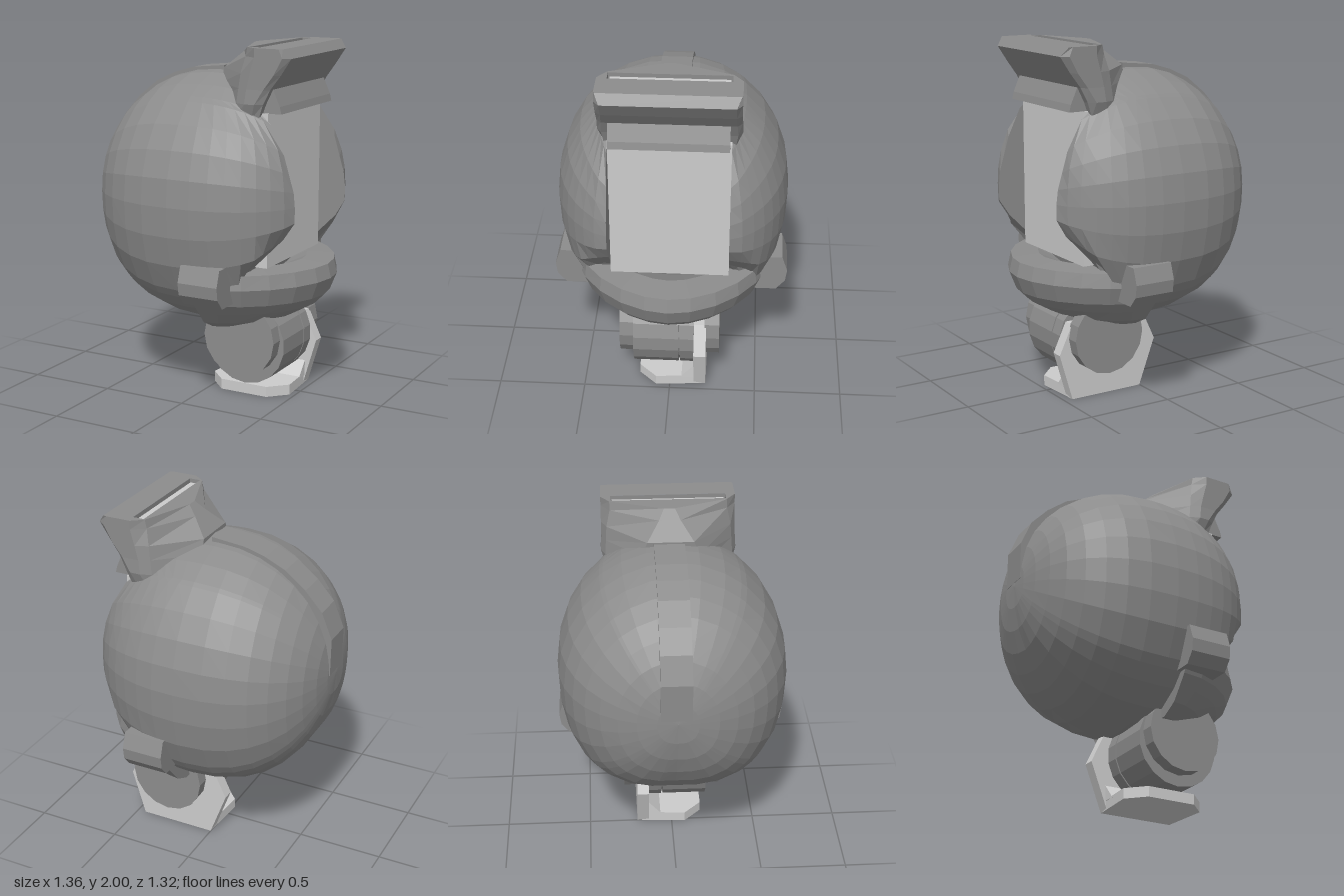
import * as THREE from 'three';

const DARK = 0x8c8c8c, LIGHT = 0xcccccc;

// Skin a list of closed rings; optional end caps
function loft(rings, capStart = false, capEnd = false) {
  const n = rings[0].length, pos = rings.flat(2), idx = [];
  for (let i = 0; i < rings.length - 1; i++) {
    for (let j = 0; j < n; j++) {
      const k = (j + 1) % n, a = i * n + j, b = i * n + k;
      idx.push(a, b, b + n, a, b + n, a + n);
    }
  }
  const last = (rings.length - 1) * n;
  for (let j = 1; j < n - 1; j++) {
    if (capStart) idx.push(0, j + 1, j);
    if (capEnd) idx.push(last, last + j, last + j + 1);
  }
  const g = new THREE.BufferGeometry();
  g.setAttribute('position', new THREE.Float32BufferAttribute(pos, 3));
  g.setIndex(idx);
  g.computeVertexNormals();
  return g;
}

const polygon = pts => new THREE.Shape(pts.map(p => new THREE.Vector2(p[0], p[1])));
const extrude = (shape, depth) =>
  new THREE.ExtrudeGeometry(shape, { depth, bevelEnabled: false });

// Head shell: round back, fuller underside, rectangular face opening, notch above the jaw
const CY = 1.16, RY = 0.69, RYB = 0.74, RZ = 0.65;
const FACE = { z: 0.33, top: 1.65, bottom: 0.8 };
const superArc = (s, p) => Math.pow(Math.max(0, 1 - s ** p), 1 / p);

function shellGeometry() {
  const thetas = [];
  for (let i = 0; i < 28; i++) thetas.push((i / 28) * Math.PI * 2 + 0.01);
  const top = Math.atan2(FACE.z / RZ, (FACE.top - CY) / RY);
  const low = Math.atan2(FACE.z / RZ, (FACE.bottom - CY) / RYB);
  thetas.push(top, low, Math.PI * 2 - top, Math.PI * 2 - low);
  thetas.sort((a, b) => a - b);

  // Outline across the head: round above the middle, squarer below
  const outline = t => {
    const c = Math.cos(t), s = Math.sin(t);
    const k = c > 0 ? 1 : Math.pow(Math.abs(c) ** 2.4 + Math.abs(s) ** 2.4, -1 / 2.4);
    return [(c > 0 ? RY : RYB) * c * k, RZ * s * k];
  };
  const rimFraction = t => {
    const [y, z] = outline(t);
    const v = (y > 0 ? FACE.top - CY : CY - FACE.bottom) / (Math.abs(y) + 1e-6);
    return Math.min(FACE.z / (Math.abs(z) + 1e-6), v, 1);
  };
  const point = (t, s, front) => {
    const [oy, oz] = outline(t), y = CY + s * oy;
    const x = front ? 0.68 * superArc(s, 2.4)
      : -0.68 * superArc(s, 2.05 + 0.3 * Math.abs(Math.sin(t)));
    return [Math.min(x, 0.61, 0.61 - 0.3 * (y - 1.21), Math.max(0.35, y - 0.43)), y, s * oz];
  };
  const rings = [];
  for (let i = 0; i <= 9; i++) {
    const s = Math.sin((i / 9) * Math.PI / 2);
    rings.push(thetas.map(t => point(t, Math.max(s, 0.001), false)));
  }
  for (let i = 1; i <= 8; i++) {
    rings.push(thetas.map(t => {
      const end = Math.asin(rimFraction(t));
      return point(t, Math.sin(Math.PI / 2 + (end - Math.PI / 2) * i / 8), true);
    }));
  }
  // Inner wall of the face opening
  rings.push(rings[rings.length - 1].map(([x, y, z]) => [Math.min(x, 0.42), y, z]));
  return loft(rings);
}

// Jaw: thick lip swept around the front, running into the shell at both ends
function jawGeometry() {
  // x radius, height, z radius
  const section = [
    [0.1, 0.42, 0.2], [0.22, 0.42, 0.32], [0.36, 0.47, 0.42], [0.48, 0.54, 0.48],
    [0.54, 0.6, 0.53], [0.58, 0.7, 0.57], [0.56, 0.78, 0.56], [0.4, 0.79, 0.4], [0.25, 0.72, 0.25],
  ];
  const rings = [];
  for (let i = 0; i <= 12; i++) {
    const a = (1 - i / 6) * Math.PI / 2;
    const c = Math.pow(Math.max(0, Math.cos(a)), 1.1);
    const s = Math.sign(a) * Math.pow(Math.abs(Math.sin(a)), 1.1);
    rings.push(section.map(([rx, y, rz]) => [0.1 + rx * c, y, rz * s]));
  }
  return loft(rings, true, true);
}

export function createModel() {
  const model = new THREE.Group();
  const add = (name, geometry, color = DARK, side = THREE.FrontSide) => {
    const mesh = new THREE.Mesh(geometry,
      new THREE.MeshStandardMaterial({ color, flatShading: true, side }));
    mesh.name = name;
    model.add(mesh);
    return mesh;
  };

  add('headShell', shellGeometry(), DARK, THREE.DoubleSide);
  add('facePanel', new THREE.BoxGeometry(0.08, 0.85, 0.66), LIGHT).position.set(0.405, 1.225, 0);
  add('jaw', jawGeometry(), DARK, THREE.DoubleSide);

  // Raised band over the back of the head
  const outer = [
    [-0.68, 1.18], [-0.682, 1.4], [-0.62, 1.55], [-0.52, 1.66], [-0.4, 1.755],
    [-0.28, 1.81], [-0.16, 1.845], [0.04, 1.865],
  ];
  const inner = outer.map(([x, y]) => [x * 0.88, CY + (y - CY) * 0.88]).reverse();
  add('crestBand', extrude(polygon([...outer, ...inner]), 0.17)).position.z = -0.095;

  // Hood: height, then x and z of five points from back to front, mirrored in z
  const hoodRings = [
    [1.62, 0.08, 0.17, 0.26, 0.35, 0.3, 0.36, 0.36, 0.36, 0.4, 0.35],
    [1.7, 0.08, 0.17, 0.27, 0.36, 0.33, 0.385, 0.39, 0.385, 0.43, 0.36],
    [1.78, 0.07, 0.16, 0.28, 0.355, 0.34, 0.38, 0.44, 0.38, 0.47, 0.355],
    [1.86, 0.07, 0.13, 0.29, 0.35, 0.36, 0.38, 0.5, 0.38, 0.53, 0.35],
    [1.95, 0.16, 0.06, 0.31, 0.33, 0.385, 0.38, 0.55, 0.38, 0.59, 0.35],
    [2.0, 0.21, 0.03, 0.32, 0.33, 0.385, 0.38, 0.53, 0.38, 0.55, 0.375],
  ].map(([y, ...p]) => {
    const half = [0, 2, 4, 6, 8].map(i => [p[i], y, p[i + 1]]);
    return [...half.map(([x, h, z]) => [x, h, -z]).reverse(), ...half];
  });
  add('hood', loft(hoodRings, true, false));
  const brow = polygon([[0.38, 1.65], [0.52, 1.65], [0.51, 1.69], [0.47, 1.78], [0.38, 1.78]]);
  add('brow', extrude(brow, 0.64)).position.z = -0.32;

  // Hood top with a slot cut through it
  const lid = polygon(hoodRings[5].map(p => [p[0], -p[2]]));
  lid.holes.push(polygon([[0.33, -0.325], [0.33, 0.325], [0.395, 0.325], [0.395, -0.325]]));
  add('hoodTop', new THREE.ShapeGeometry(lid).rotateX(-Math.PI / 2)).position.y = 2;
  add('slotWalls', new THREE.BoxGeometry(0.065, 0.06, 0.65), DARK, THREE.BackSide)
    .position.set(0.3625, 1.969, 0);
  add('slotStrip', new THREE.BoxGeometry(0.05, 0.03, 0.63), LIGHT).position.set(0.362, 1.965, 0);

  // Side lugs
  const lug = polygon([[0.38, 0.62], [0.6, 0.62], [0.65, 0.68], [0.66, 0.75], [0.63, 0.84], [0.38, 0.84]]);
  for (const s of [1, -1]) {
    add(s > 0 ? 'leftLug' : 'rightLug', extrude(lug, 0.24).rotateY(-s * Math.PI / 2))
      .position.x = s > 0 ? 0.315 : 0.075;
  }

  // Neck joint: two drums with a gap and a cap on each side
  const drum = (name, r, y, z0, z1, sides) =>
    add(name, new THREE.CylinderGeometry(r, r, z1 - z0, sides).rotateX(Math.PI / 2))
      .position.set(0.25, y, (z0 + z1) / 2);
  drum('neckDrum', 0.245, 0.32, -0.05, 0.21, 18);
  drum('neckSpacer', 0.225, 0.32, -0.07, -0.04, 18);
  drum('neckInnerDrum', 0.245, 0.32, -0.14, -0.06, 18);
  drum('leftNeckCap', 0.22, 0.36, 0.2, 0.29, 16);
  drum('rightNeckCap', 0.22, 0.36, -0.285, -0.2, 16);

  // Foot: upright plate, sloping fillet and floor plate
  const plate = polygon([[0, 0], [0.45, 0], [0.53, 0.27], [0.45, 0.44], [-0.02, 0.44], [-0.1, 0.27]]);
  add('footUpright', extrude(plate, 0.07), LIGHT).position.z = -0.21;
  const floor = polygon([[0, 0.2], [-0.02, -0.08], [0.08, -0.18], [0.37, -0.18], [0.47, -0.08], [0.45, 0.2]]);
  add('footFloor', extrude(floor, 0.06).rotateX(-Math.PI / 2), LIGHT);
  const fillet = polygon([[0.14, 0.05], [0.14, 0.14], [0.06, 0.05]]);
  add('footFillet', extrude(fillet, 0.47).rotateY(Math.PI / 2), LIGHT).position.x = -0.01;

  return model;
}
